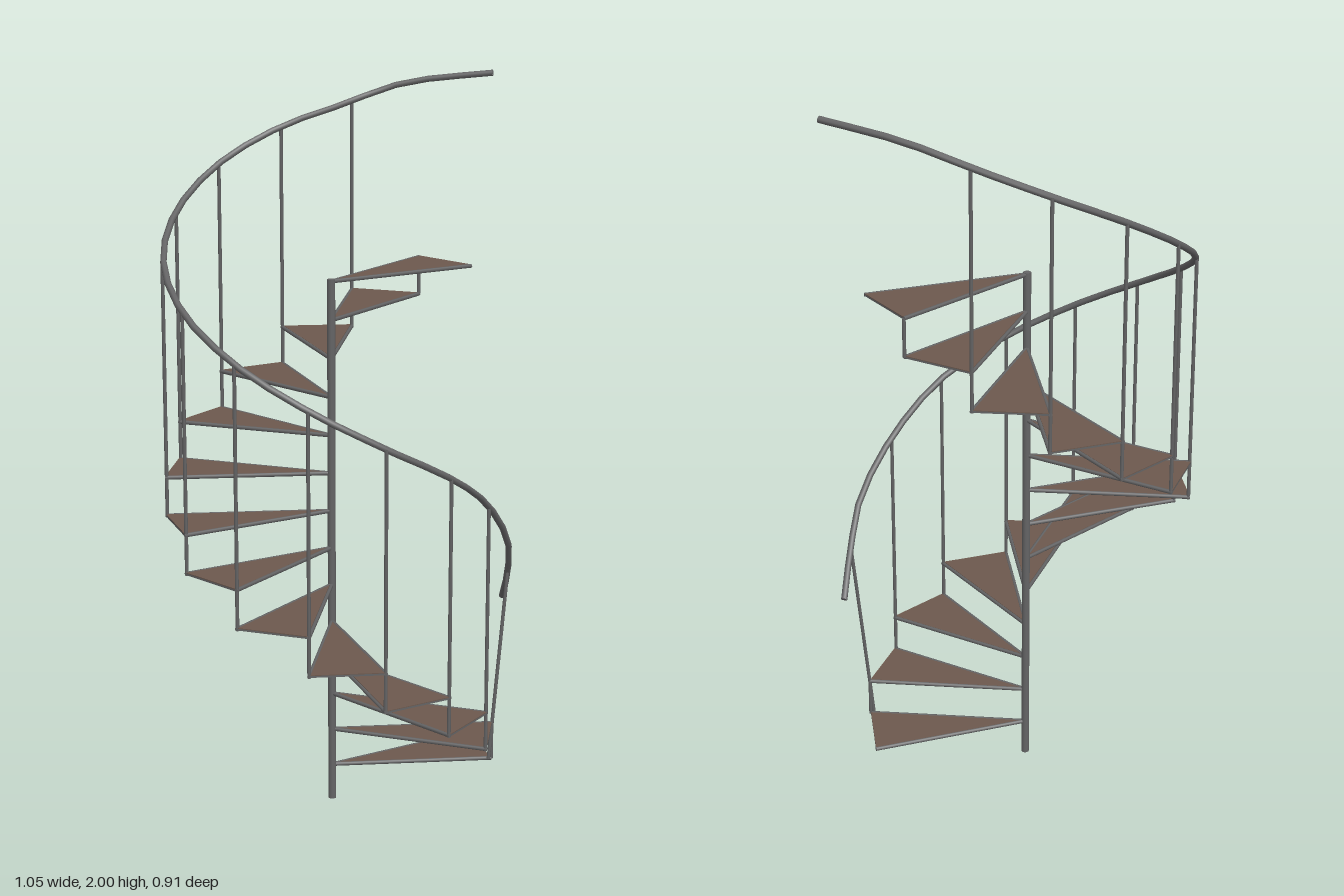
import * as THREE from 'three';

const STEPS = 14, RADIUS = 0.452, CENTRE_X = -0.07;
const RISE = 0.106, FIRST_Y = 0.1, TURN = (Math.PI * 2) / STEPS, HALF = TURN / 2;

const steel = new THREE.MeshStandardMaterial({ color: 0x646465 });
steel.name = 'steel grey';
const wood = new THREE.MeshStandardMaterial({ color: 0x6c584d });
wood.name = 'brown tread';

// Point on the spiral: k counts steps round from +x towards the front
const around = (k, y, r = RADIUS) =>
  new THREE.Vector3(CENTRE_X + r * Math.cos(k * TURN), y, r * Math.sin(k * TURN));
const treadY = (k) => FIRST_Y + (k - 1) * RISE;

// Flat wedge pointing along +x, its radial edges inset by d
function wedge(d, thickness) {
  const apex = d / Math.sin(HALF), end = RADIUS * Math.cos(HALF);
  const w = (end - apex) * Math.tan(HALF);
  const shape = new THREE.Shape([
    new THREE.Vector2(apex, 0), new THREE.Vector2(end, -w), new THREE.Vector2(end, w)]);
  return new THREE.ExtrudeGeometry(shape, { depth: thickness, bevelEnabled: false })
    .rotateX(-Math.PI / 2);
}

// Thin round bar between two points
function bar(a, b, radius, name) {
  const dir = b.clone().sub(a);
  const mesh = new THREE.Mesh(new THREE.CylinderGeometry(radius, radius, dir.length(), 6), steel);
  mesh.position.copy(a).add(b).multiplyScalar(0.5);
  mesh.quaternion.setFromUnitVectors(new THREE.Vector3(0, 1, 0), dir.normalize());
  mesh.name = name;
  return mesh;
}

export function createModel() {
  const model = new THREE.Group();
  model.name = 'spiralStaircase';

  // Central pole
  const poleTop = treadY(STEPS) + 0.006;
  const pole = new THREE.Mesh(new THREE.CylinderGeometry(0.011, 0.011, poleTop, 12), steel);
  pole.position.set(CENTRE_X, poleTop / 2, 0);
  pole.name = 'centralPole';
  model.add(pole);

  // Treads: steel plate with a brown walking surface between two radial bars
  const plateGeo = wedge(0, 0.005), boardGeo = wedge(0.004, 0.002);
  for (let k = 1; k <= STEPS; k++) {
    const tread = new THREE.Group();
    tread.name = 'tread' + k;
    const plate = new THREE.Mesh(plateGeo, steel);
    plate.name = 'treadPlate';
    plate.position.y = -0.003;
    const board = new THREE.Mesh(boardGeo, wood);
    board.name = 'treadBoard';
    board.position.y = 0.002;
    tread.add(plate, board);
    for (const side of [-1, 1]) {
      const tip = new THREE.Vector3(Math.cos(HALF), 0, side * Math.sin(HALF)).multiplyScalar(RADIUS);
      tread.add(bar(new THREE.Vector3(), tip, 0.0055, 'treadBar'));
    }
    tread.position.set(CENTRE_X, treadY(k), 0);
    tread.rotation.y = -(k - 0.5) * TURN;
    model.add(tread);
  }

  // Handrail: helix with straightened, flared ends
  const endHeights = { 2: 0.9, 11: 1.84, 12: 1.908 };
  const railY = (k) => endHeights[k] ?? 1.02 + (k - 3) * 0.1045;
  const points = [
    new THREE.Vector3(0.434, 0.54, 0.1),
    new THREE.Vector3(0.383, 0.65, 0.197),
    new THREE.Vector3(0.33, 0.76, 0.27)];
  for (let k = 2; k <= 12; k++) points.push(around(k, railY(k), 0.445));
  points.push(
    new THREE.Vector3(0.282, 1.94, -0.315),
    new THREE.Vector3(0.362, 1.966, -0.252),
    new THREE.Vector3(0.517, 1.992, -0.102));
  const path = new THREE.CatmullRomCurve3(points);
  const rail = new THREE.Mesh(new THREE.TubeGeometry(path, 34, 0.009, 8), steel);
  rail.name = 'handrail';
  model.add(rail);
  for (const [t, sign] of [[0, -1], [1, 1]]) {
    const cap = new THREE.Mesh(new THREE.CircleGeometry(0.009, 8), steel);
    cap.position.copy(path.getPointAt(t));
    cap.lookAt(cap.position.clone().addScaledVector(path.getTangentAt(t), sign));
    cap.name = 'handrailCap';
    model.add(cap);
  }

  // Balusters: leaning first post, upright posts, short last link between treads
  model.add(bar(new THREE.Vector3(0.327, treadY(1), 0.197), points[1], 0.005, 'leaningBaluster'));
  model.add(bar(around(1, treadY(1)), around(1, treadY(2)), 0.005, 'bottomLink'));
  for (let k = 2; k <= 12; k++) {
    model.add(bar(around(k, treadY(k) - 0.005, 0.448), around(k, railY(k), 0.448), 0.005, 'baluster' + k));
  }
  model.add(bar(around(13, treadY(13)), around(13, treadY(14)), 0.005, 'topLink'));

  return model;
}
